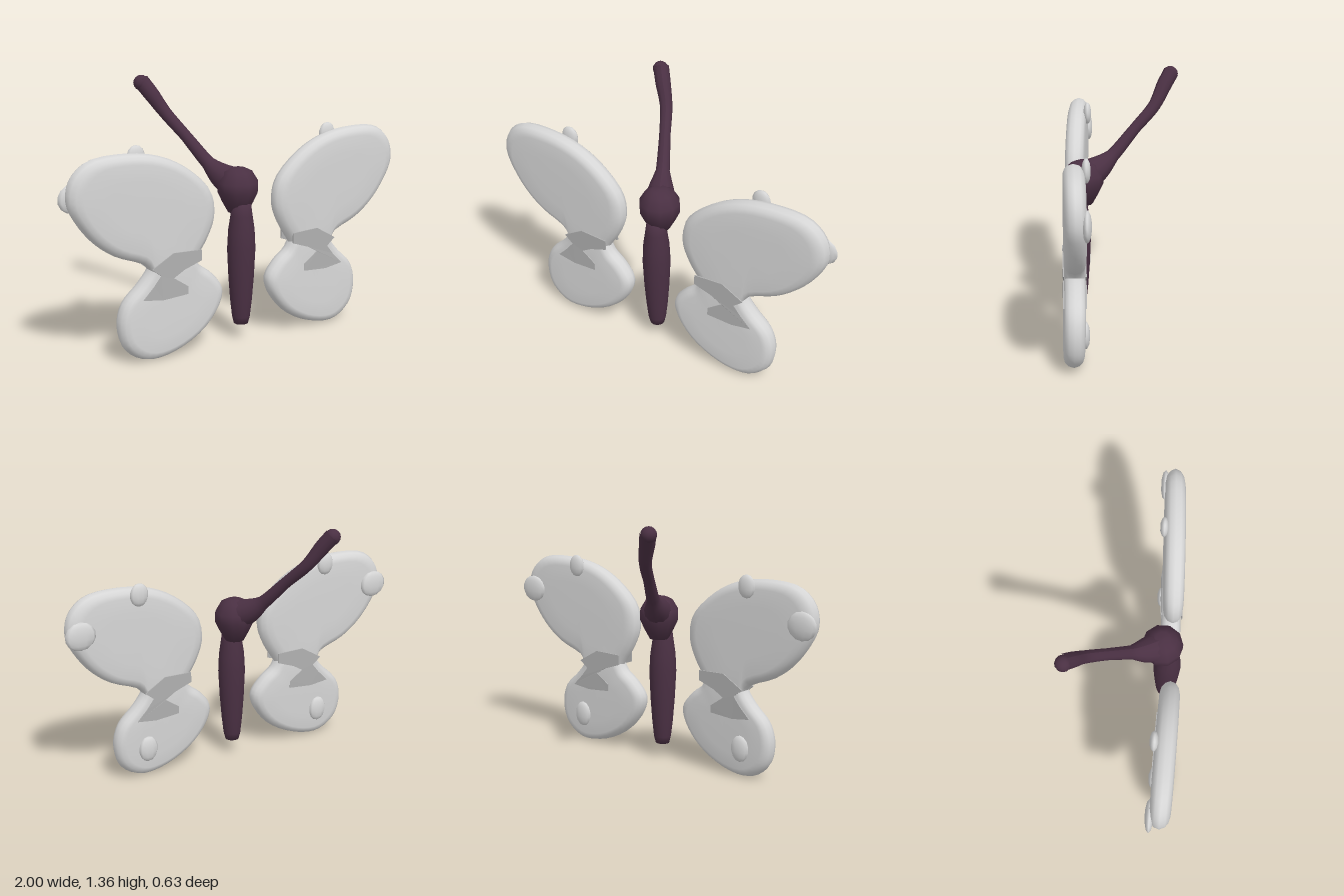
import * as THREE from 'three';

const wingMat = new THREE.MeshStandardMaterial({ color: 0xd6d6d6 });
wingMat.name = 'pale wing grey';
const patchMat = new THREE.MeshStandardMaterial({ color: 0xb0b0b0 });
patchMat.name = 'wing patch grey';
const bodyMat = new THREE.MeshStandardMaterial({ color: 0x4a3043 });
bodyMat.name = 'dark plum';

// Outlines of the left wing lobes, counterclockwise
const UPPER = [[.42, .38], [.52, .42], [.57, .5], [.73, .57], [.84, .65], [.93, .76], [.98, .87], [.96, .98],
  [.87, 1.06], [.68, 1.08], [.49, 1.05], [.33, .97], [.2, .84], [.18, .71], [.22, .6], [.285, .5], [.33, .42]];
const LOWER = [[.43, .025], [.59, .012], [.7, .09], [.73, .21], [.7, .32], [.61, .41], [.56, .47], [.52, .54],
  [.42, .56], [.32, .54], [.27, .465], [.2, .41], [.14, .33], [.15, .25], [.25, .12]];
const PATCH = [[.28, .555], [.44, .56], [.56, .49], [.51, .45], [.55, .4], [.61, .34], [.5, .325],
  [.36, .335], [.36, .375], [.44, .43], [.38, .465], [.28, .5]];

// Middle plane of the wings, slightly swept back towards the tips
const wingZ = (x, y) => 0.258 - 0.035 * Math.abs(x) + Math.max(0, 0.4 - y) * 0.03;

function add(parent, name, geometry, material) {
  const mesh = new THREE.Mesh(geometry, material);
  mesh.name = name;
  parent.add(mesh);
  return mesh;
}

// Flat-faced pillow with a rounded rim, built from shrinking outline rings
function pillow(outline, cx, cy, side) {
  const curve = new THREE.CatmullRomCurve3(outline.map(([x, y]) => new THREE.Vector3(x, y, 0)), true);
  const n = 56;
  const pts = curve.getPoints(n).slice(0, n);
  const half = [[0.001, .055], [.5, .055], [.82, .053], [.91, .045], [.97, .028], [1, 0]];
  const rings = [...half.map(([s, z]) => [s, -z]), ...half.slice(0, -1).reverse()];
  const pos = [], idx = [];
  rings.forEach(([s, z], k) => {
    pts.forEach((p, i) => {
      const x = cx + (p.x - cx) * s, y = cy + (p.y - cy) * s;
      pos.push(side * x, y, wingZ(x, y) + z);
      if (k === rings.length - 1) return;
      const a = k * n + i, b = k * n + (i + 1) % n, c = b + n, d = a + n;
      if (side > 0) idx.push(a, b, c, a, c, d);
      else idx.push(a, c, b, a, d, c);
    });
  });
  const g = new THREE.BufferGeometry();
  g.setAttribute('position', new THREE.Float32BufferAttribute(pos, 3));
  g.setIndex(idx);
  g.computeVertexNormals();
  return g;
}

// Thin darker plate following the wing plane
function patch(side, offset) {
  const shape = new THREE.Shape(PATCH.map(([x, y]) => new THREE.Vector2(side * x, y)));
  const g = new THREE.ExtrudeGeometry(shape, { depth: 0.006, bevelEnabled: false });
  const p = g.attributes.position;
  for (let i = 0; i < p.count; i++) p.setZ(i, p.getZ(i) + offset + wingZ(p.getX(i), p.getY(i)));
  g.computeVertexNormals();
  return g;
}

// Tube whose radius varies along the path
function taperedTube(points, radii) {
  const path = new THREE.CatmullRomCurve3(points.map(p => new THREE.Vector3(...p)));
  const segs = 30, sides = 12;
  const g = new THREE.TubeGeometry(path, segs, 1, sides, false);
  const p = g.attributes.position, v = new THREE.Vector3();
  for (let i = 0; i < p.count; i++) {
    const u = Math.floor(i / (sides + 1)) / segs;
    const t = path.getUtoTmapping(u) * (radii.length - 1);
    const k = Math.min(Math.floor(t), radii.length - 2);
    const r = THREE.MathUtils.lerp(radii[k], radii[k + 1], t - k);
    const c = path.getPointAt(u);
    v.fromBufferAttribute(p, i).sub(c).multiplyScalar(r).add(c);
    p.setXYZ(i, v.x, v.y, v.z);
  }
  g.computeVertexNormals();
  return g;
}

function createWing(side) {
  const wing = new THREE.Group();
  wing.name = side > 0 ? 'leftWing' : 'rightWing';
  add(wing, 'upperWing', pillow(UPPER, .58, .8, side), wingMat);
  add(wing, 'lowerWing', pillow(LOWER, .44, .26, side), wingMat);
  add(wing, 'frontPatch', patch(side, .053), patchMat);
  add(wing, 'backPatch', patch(side, -.059), patchMat);
  // Raised knobs on the back: x, y, z, half width, half height
  const knobs = [[.58, 1.04, .178, .052, .062], [.915, .875, .173, .085, .075], [.55, .17, .188, .055, .072]];
  for (const [x, y, z, rx, ry] of knobs) {
    const knob = add(wing, 'wingKnob', new THREE.SphereGeometry(1, 10, 7), wingMat);
    knob.position.set(side * x, y, z);
    knob.scale.set(rx, ry, .023);
  }
  return wing;
}

export function createModel() {
  const model = new THREE.Group();
  model.name = 'butterfly';

  // Long tapering abdomen
  const profile = [[0, .09], [.038, .09], [.048, .13], [.058, .22], [.068, .35], [.075, .5], [.07, .6],
    [.058, .68], [.05, .74], [0, .78]].map(([r, y]) => new THREE.Vector2(r, y));
  add(model, 'abdomen', new THREE.LatheGeometry(profile, 16), bodyMat).position.z = .235;

  // Faceted round head
  const headProfile = [[0, .68], [.052, .69], [.085, .75], [.108, .8], [.108, .85], [.075, .905], [.04, .922], [0, .925]]
    .map(([r, y]) => new THREE.Vector2(r, y));
  add(model, 'head', new THREE.LatheGeometry(headProfile, 10), bodyMat).position.z = .2;

  // Single antenna sweeping up, back and to the right
  const path = [[0, .83, .2], [-.05, .875, .11], [-.085, .93, .04], [-.15, 1.06, -.08],
    [-.21, 1.17, -.185], [-.265, 1.27, -.24], [-.303, 1.335, -.28]];
  add(model, 'antenna', taperedTube(path, [.09, .065, .036, .03, .033, .041, .042]), bodyMat);
  const tip = add(model, 'antennaTip', new THREE.SphereGeometry(.042, 12, 8), bodyMat);
  tip.position.set(-.303, 1.325, -.275);

  model.add(createWing(1), createWing(-1));
  return model;
}
